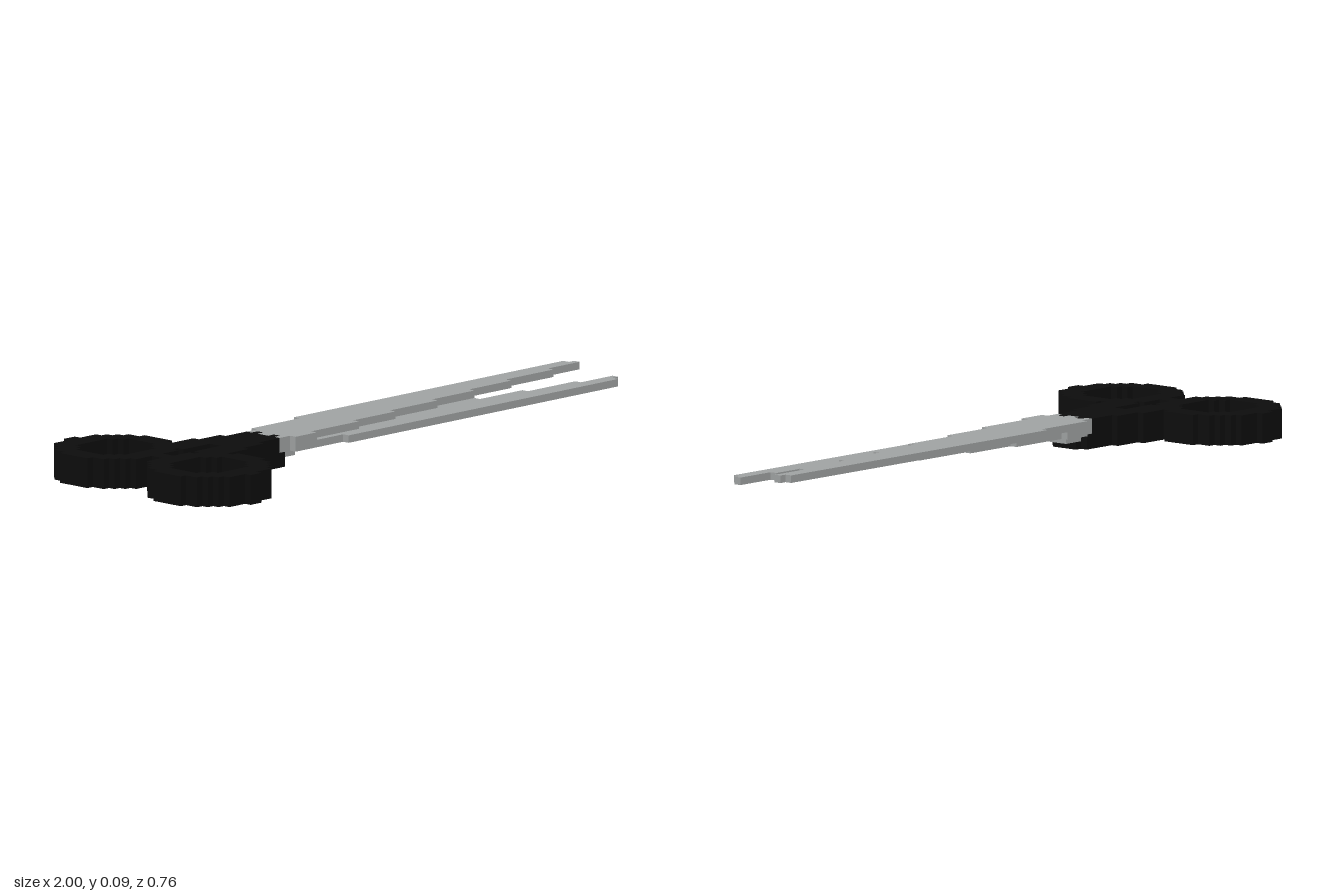
import * as THREE from 'three';
import { mergeGeometries } from 'three/addons/utils/BufferGeometryUtils.js';

const U = 2 / 90; // size of one block; the model is 90 x 4 x 34 blocks

// Box given by block ranges along x, y and z (end values exclusive)
function block(i0, i1, j0, j1, k0, k1) {
  return new THREE.BoxGeometry((i1 - i0) * U, (j1 - j0) * U, (k1 - k0) * U)
    .translate(((i0 + i1) / 2 - 45) * U, ((j0 + j1) / 2) * U, ((k0 + k1) / 2 - 17) * U);
}

// Same box, mirrored across z = 0 when asked
function sided(mirror, i0, i1, j0, j1, k0, k1) {
  return mirror ? block(i0, i1, j0, j1, 34 - k1, 34 - k0) : block(i0, i1, j0, j1, k0, k1);
}

// Number of whole blocks on one side of the ring's centre line in a row
function halfRun(radius, dz) {
  return dz >= radius ? 0 : Math.floor(Math.sqrt(radius * radius - dz * dz) + 0.5);
}

// Stepped finger ring, one or two runs of blocks per row
function ringGeometry(mirror) {
  const parts = [];
  for (let k = 0; k <= 16; k++) {
    const outer = halfRun(8.05, Math.abs(k - 8));
    const inner = halfRun(5, Math.abs(k - 8));
    if (inner === 0) {
      parts.push(sided(mirror, 8 - outer, 8 + outer, 0, 4, k, k + 1));
    } else {
      parts.push(sided(mirror, 8 - outer, 8 - inner, 0, 4, k, k + 1));
      parts.push(sided(mirror, 8 + inner, 8 + outer, 0, 4, k, k + 1));
    }
  }
  return mergeGeometries(parts);
}

// Blade whose cutting edge steps back towards the tip
function bladeGeometry(mirror, layer) {
  const steps = [ // start, end, outer edge, cutting edge
    [27, 28, 14, 20], [28, 29, 14, 20], [29, 33, 13, 21], [33, 38, 13, 20],
    [38, 42, 12, 20], [42, 50, 12, 19], [50, 59, 12, 18], [59, 67, 12, 17],
    [67, 75, 12, 16], [75, 84, 12, 15], [84, 89, 12, 14], [89, 90, 13, 14],
  ];
  return mergeGeometries(steps.map(([i0, i1, k0, k1]) =>
    sided(mirror, i0, i1, layer, layer + 1, k0, k1)));
}

export function createModel() {
  const group = new THREE.Group();
  const black = new THREE.MeshStandardMaterial({ color: 0x0d0d0d });
  black.name = 'black plastic';
  const steel = new THREE.MeshStandardMaterial({ color: 0xa0a3a3 });
  steel.name = 'grey steel';

  const add = (name, geometry, material) => {
    const mesh = new THREE.Mesh(geometry, material);
    mesh.name = name;
    group.add(mesh);
  };

  for (const mirror of [false, true]) {
    const side = mirror ? 'front' : 'back';
    add(side + 'FingerRing', ringGeometry(mirror), black);
    // Arm joining the ring to the shank
    add(side + 'HandleArm', mergeGeometries([
      sided(mirror, 13, 19, 0, 4, 12, 16),
      sided(mirror, 18, 23, 0, 4, 13, 17),
    ]), black);
    add(side + 'Blade', bladeGeometry(mirror, mirror ? 2 : 3), steel);
  }

  // Shank with short fingers gripping the blades
  add('shank', mergeGeometries([
    block(23, 27, 0, 4, 14, 20),
    block(27, 28, 0, 2, 14, 20),
    block(28, 29, 0, 1, 15, 19),
  ]), black);
  for (const k of [15, 18]) add('shankFinger', block(27, 28, 3, 4.03, k, k + 1), black);

  // Small plate under the pivot
  add('pivotPlate', block(28, 31, 1, 2, 15, 19), steel);

  return group;
}
